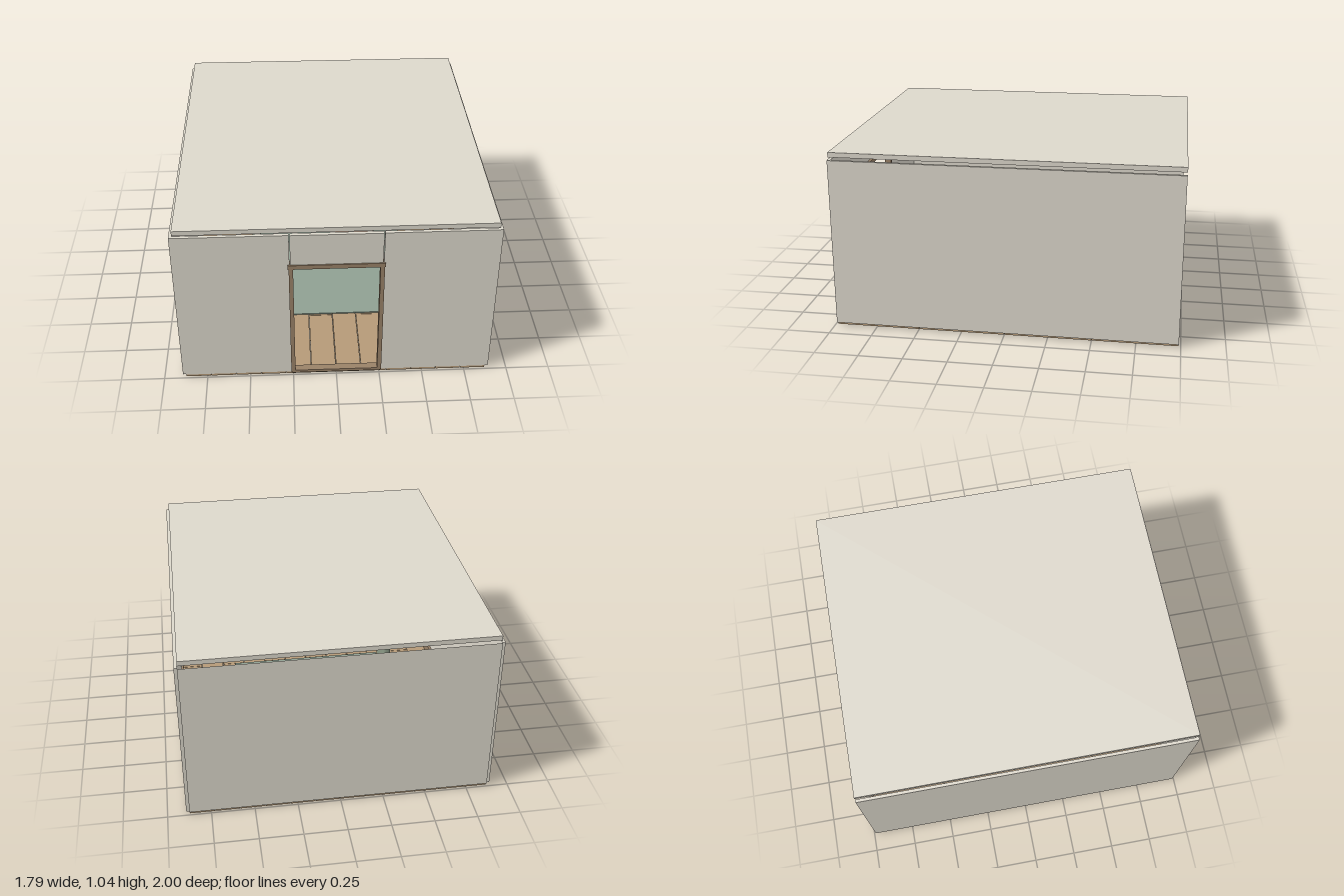
import * as THREE from 'three';
import { RoundedBoxGeometry } from 'three/addons/geometries/RoundedBoxGeometry.js';

const paint = (color) => new THREE.MeshStandardMaterial({ color });
const WALL = paint(0xddd8cc), WOOD = paint(0xb59a78), FRAME = paint(0x9a8268), DARK = paint(0x3c4444),
  BLACK = paint(0x222426), PINK = paint(0xb8957f), GREEN = paint(0x8b9a86), RUG = paint(0x8fa092), OAK = paint(0xc0aa88);

function add(parent, name, geometry, material, x = 0, y = 0, z = 0) {
  const mesh = new THREE.Mesh(geometry, material);
  mesh.name = name;
  mesh.position.set(x, y, z);
  parent.add(mesh);
  return mesh;
}

// Box given by its lower and upper corner
function block(parent, name, material, [x0, y0, z0], [x1, y1, z1], radius = 0) {
  const s = [x1 - x0, y1 - y0, z1 - z0];
  const geometry = radius ? new RoundedBoxGeometry(...s, 3, radius) : new THREE.BoxGeometry(...s);
  return add(parent, name, geometry, material, (x0 + x1) / 2, (y0 + y1) / 2, (z0 + z1) / 2);
}

function group(parent, name) {
  const g = new THREE.Group();
  g.name = name;
  parent.add(g);
  return g;
}

// Upholstered chair on four thin legs, facing +z
function chair(parent, name, material, x, z, turn, w = 0.27) {
  const g = group(parent, name);
  const h = w / 2;
  block(g, 'seat', material, [-h, 0.13, -h], [h, 0.182, h], 0.02);
  block(g, 'backrest', material, [-h, 0.175, -h], [h, 0.41, -h + 0.05], 0.022);
  for (const sx of [-1, 1]) for (const sz of [-1, 1])
    add(g, 'chairLeg', new THREE.CylinderGeometry(0.007, 0.006, 0.11, 10), BLACK, sx * (h - 0.03), 0.08, sz * (h - 0.03));
  g.position.set(x, 0, z);
  g.rotation.y = turn;
}

export function createModel() {
  const room = new THREE.Group();
  room.name = 'room';

  // Plank floor with narrow seams and staggered end joints
  const floor = group(room, 'floor');
  const columns = 12, width = 1.75 / columns, gap = 0.0015;
  for (let i = 0; i < columns; i++) {
    const cuts = i % 2 ? [-0.988, -0.5, 0, 0.5, 0.988] : [-0.988, -0.25, 0.25, 0.988];
    for (let j = 0; j + 1 < cuts.length; j++)
      block(floor, 'plank', WOOD,
        [-0.875 + i * width + gap, 0, cuts[j] + gap],
        [-0.875 + (i + 1) * width - gap, 0.018, cuts[j + 1] - gap]);
  }

  // Side walls stand just outside the floor, mirrored
  const walls = group(room, 'walls');
  for (const s of [-1, 1]) {
    const [a, b] = [s * 0.875, s * 0.893].sort((p, q) => p - q);
    block(walls, 'sideWall', WALL, [a, 0.018, -0.989], [b, 1, 0.988]);
    // Front panels beside the doorway
    const [c, d] = [s * 0.257, s * 0.875].sort((p, q) => p - q);
    block(walls, 'frontWall', WALL, [c, 0.018, 0.972], [d, 1, 0.992]);
  }
  block(walls, 'lintel', WALL, [-0.253, 0.8, 0.972], [0.253, 1, 0.994]);

  // Back wall shows only from outside
  const back = add(walls, 'backWall', new THREE.PlaneGeometry(1.75, 0.982), WALL, 0, 0.509, -0.998);
  back.rotation.y = Math.PI;

  // Flat roof slab, floating a little above the walls
  block(room, 'roof', WALL, [-0.875, 1.014, -0.99], [0.875, 1.042, 0.988]);

  // Door frame
  const frame = group(room, 'doorFrame');
  for (const s of [-1, 1]) block(frame, 'jamb', FRAME, [s * 0.25 - 0.012, 0.02, 0.955], [s * 0.25 + 0.012, 0.79, 0.998]);
  block(frame, 'header', FRAME, [-0.268, 0.776, 0.955], [0.266, 0.803, 1]);
  block(frame, 'threshold', FRAME, [-0.257, 0.014, 0.955], [0.257, 0.032, 0.998]);

  // Skirting boards
  const skirting = group(room, 'skirting');
  block(skirting, 'backSkirting', FRAME, [-0.87, 0.018, -0.985], [0.87, 0.09, -0.97]);
  for (const s of [-1, 1]) block(skirting, 'sideSkirting', FRAME, [s * 0.865 - 0.008, 0.018, -0.97], [s * 0.865 + 0.008, 0.09, 0.965]);

  // Long dark unit on the back wall
  const shelf = group(room, 'wallShelf');
  block(shelf, 'shelfPanel', DARK, [-0.6, 0.378, -0.97], [0.6, 0.445, -0.94]);
  block(shelf, 'shelfBoard', DARK, [-0.6, 0.345, -0.97], [0.6, 0.378, -0.88]);

  // Rug
  block(room, 'rug', RUG, [-0.5, 0.018, -0.5], [0.5, 0.025, 0.49]);

  // Desk with drawer
  const desk = group(room, 'desk');
  block(desk, 'deskTop', OAK, [-0.56, 0.268, -0.8], [-0.005, 0.288, -0.45], 0.006);
  block(desk, 'deskApron', OAK, [-0.53, 0.215, -0.78], [-0.045, 0.268, -0.48]);
  block(desk, 'drawerFront', FRAME, [-0.32, 0.222, -0.48], [-0.05, 0.258, -0.474]);
  add(desk, 'drawerKnob', new THREE.SphereGeometry(0.009, 12, 8), BLACK, -0.185, 0.24, -0.468);
  for (const x of [-0.515, -0.055]) for (const z of [-0.77, -0.49])
    block(desk, 'deskLeg', OAK, [x - 0.009, 0.018, z - 0.009], [x + 0.009, 0.215, z + 0.009]);

  // Mug on the desk
  const mug = group(desk, 'mug');
  const profile = [[0, 0], [0.025, 0], [0.027, 0.004], [0.027, 0.065], [0.023, 0.065], [0.023, 0.006], [0, 0.006]]
    .map(([x, y]) => new THREE.Vector2(x, y));
  add(mug, 'mugBody', new THREE.LatheGeometry(profile, 24), PINK);
  add(mug, 'mugHandle', new THREE.TorusGeometry(0.018, 0.005, 8, 20, Math.PI), PINK, 0.026, 0.033, 0).rotation.z = -Math.PI / 2;
  mug.position.set(-0.132, 0.288, -0.56);

  // Seating
  chair(room, 'armchair', PINK, 0.175, -0.3, 0);
  chair(room, 'sideChair', GREEN, -0.38, 0.1, Math.PI / 2, 0.22);

  return room;
}
